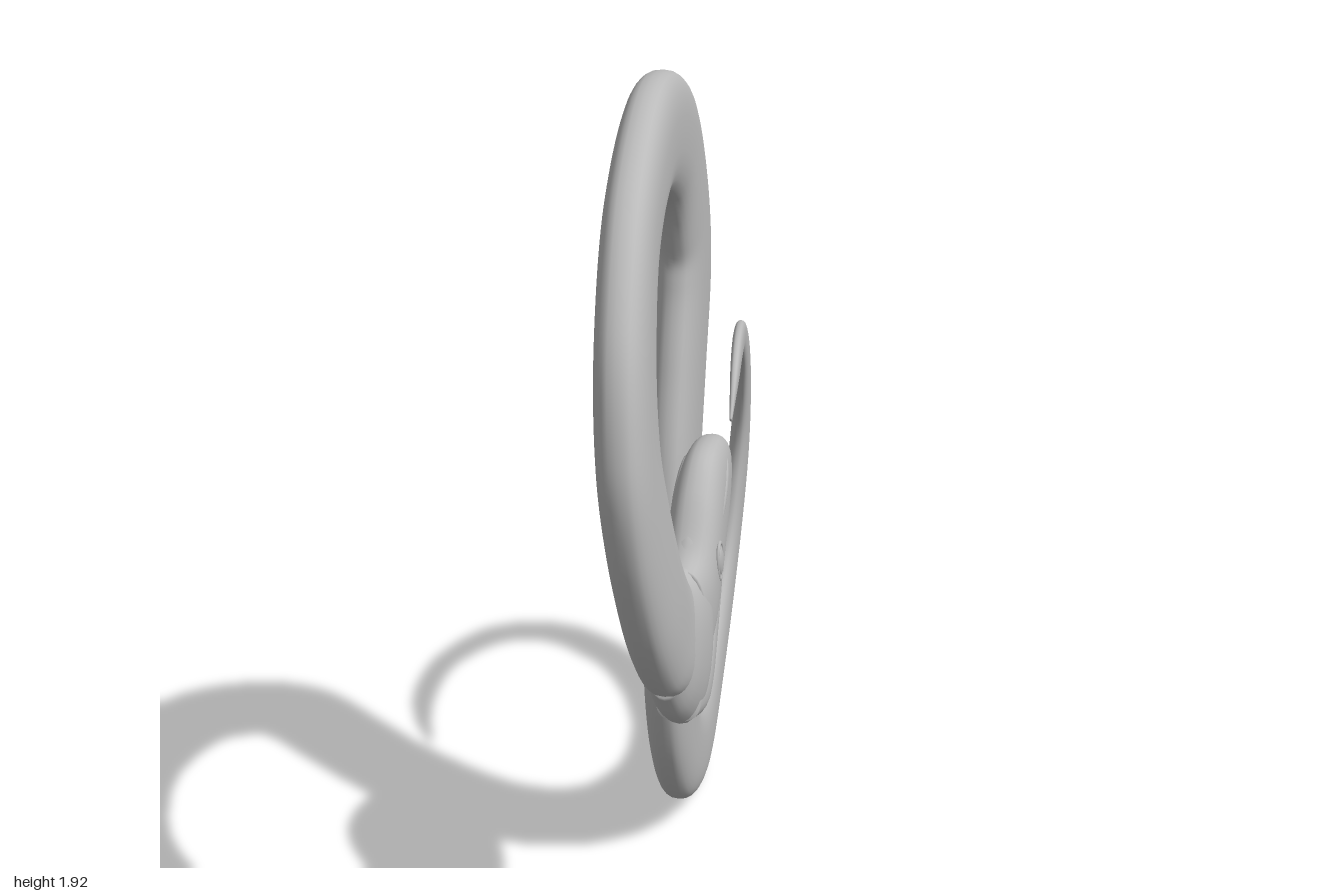
import * as THREE from 'three';

const skin = new THREE.MeshStandardMaterial({ color: 0xbababa });
skin.name = 'grey skin';

const SIDES = 32;
const spow = (v, p) => Math.sign(v) * Math.pow(Math.abs(v), p);

// Smooth skin over ribs; each rib is [topZ, topY, bottomZ, bottomY, centreX, halfThickness]
function loft(name, ribs, steps, power) {
  const curve = f => new THREE.CatmullRomCurve3(ribs.map(f), false, 'catmullrom', 0.5);
  const top = curve(r => new THREE.Vector3(r[4], r[1], r[0]));
  const bottom = curve(r => new THREE.Vector3(r[4], r[3], r[2]));
  const thick = curve(r => new THREE.Vector3(r[5], 0, 0));
  const pos = [], index = [];
  for (let i = 0; i <= steps; i++) {
    const t = i / steps;
    const a = top.getPoint(t), b = bottom.getPoint(t), h = thick.getPoint(t).x;
    const c = a.clone().add(b).multiplyScalar(0.5);
    const u = a.sub(b).multiplyScalar(0.5);
    for (let j = 0; j < SIDES; j++) {
      const w = (j / SIDES) * Math.PI * 2;
      const k = spow(Math.cos(w), 2 / power);
      pos.push(c.x + h * spow(Math.sin(w), 2 / power), c.y + u.y * k, c.z + u.z * k);
    }
  }
  const id = (i, j) => i * SIDES + (j % SIDES);
  for (let i = 0; i < steps; i++)
    for (let j = 0; j < SIDES; j++)
      index.push(id(i, j), id(i, j + 1), id(i + 1, j), id(i, j + 1), id(i + 1, j + 1), id(i + 1, j));
  // end caps
  for (const i of [0, steps]) {
    const n = pos.length / 3;
    const m = [0, 1, 2].map(k => (pos[id(i, 0) * 3 + k] + pos[id(i, SIDES / 2) * 3 + k]) / 2);
    pos.push(...m);
    for (let j = 0; j < SIDES; j++)
      index.push(n, id(i, i ? j : j + 1), id(i, i ? j + 1 : j));
  }
  const g = new THREE.BufferGeometry();
  g.setAttribute('position', new THREE.Float32BufferAttribute(pos, 3));
  g.setIndex(index);
  g.computeVertexNormals();
  const mesh = new THREE.Mesh(g, skin);
  mesh.name = name;
  return mesh;
}

// Body centreline from neck to tail: [z, y, halfWidth, x, halfThickness]
const SPINE = [
  [0.58, 0.83, 0.11, 0.04, 0.05], [0.67, 0.89, 0.125, 0.03, 0.052], [0.77, 1.01, 0.128, 0.02, 0.054],
  [0.85, 1.19, 0.13, 0.005, 0.054], [0.872, 1.35, 0.128, -0.008, 0.054], [0.815, 1.53, 0.125, -0.02, 0.053],
  [0.64, 1.71, 0.115, -0.035, 0.052], [0.35, 1.8, 0.12, -0.045, 0.052], [0.06, 1.72, 0.13, -0.05, 0.052],
  [-0.09, 1.54, 0.138, -0.05, 0.052], [-0.125, 1.38, 0.152, -0.05, 0.052], [-0.07, 1.18, 0.15, -0.053, 0.052],
  [-0.01, 0.97, 0.146, -0.056, 0.052], [0.025, 0.72, 0.14, -0.06, 0.052], [0.018, 0.52, 0.136, -0.063, 0.052],
  [-0.06, 0.32, 0.124, -0.066, 0.05], [-0.2, 0.18, 0.117, -0.068, 0.048], [-0.42, 0.113, 0.108, -0.07, 0.044],
  [-0.665, 0.185, 0.085, -0.068, 0.036], [-0.86, 0.37, 0.069, -0.055, 0.029], [-0.932, 0.6, 0.067, -0.036, 0.025],
  [-0.9, 0.79, 0.053, -0.02, 0.021], [-0.785, 0.955, 0.044, -0.004, 0.017], [-0.585, 1.08, 0.036, 0.016, 0.014],
  [-0.39, 1.12, 0.034, 0.034, 0.013], [-0.245, 1.1, 0.024, 0.046, 0.01], [-0.13, 1.04, 0.005, 0.053, 0.003],
];

function spineRibs() {
  const curve = new THREE.CatmullRomCurve3(SPINE.map(s => new THREE.Vector3(0, s[1], s[0])), false, 'catmullrom', 0.5);
  return SPINE.map(([z, y, w, x, h], i) => {
    const t = curve.getTangent(i / (SPINE.length - 1));
    return [z + t.y * w, y - t.z * w, z - t.y * w, y + t.z * w, x, h];
  });
}

export function createModel() {
  const model = new THREE.Group();
  model.name = 'snake';
  model.add(loft('body', spineRibs(), 260, 2.6));

  const head = new THREE.Group();
  head.name = 'head';
  model.add(head);

  // back of the skull, behind the corner of the mouth
  head.add(loft('skullBack', [
    [0.64, 1.0, 0.7, 0.76, 0.03, 0.045], [0.58, 0.975, 0.645, 0.69, 0.038, 0.056],
    [0.52, 0.985, 0.56, 0.637, 0.045, 0.058], [0.48, 1.02, 0.5, 0.65, 0.048, 0.053],
    [0.455, 1.03, 0.465, 0.72, 0.05, 0.045],
  ], 32, 2.2));

  head.add(loft('upperJaw', [
    [0.56, 0.97, 0.55, 0.71, 0.044, 0.05], [0.5, 1.0, 0.46, 0.745, 0.048, 0.057],
    [0.42, 1.09, 0.38, 0.8, 0.05, 0.057], [0.34, 1.14, 0.29, 0.87, 0.052, 0.053],
    [0.24, 1.14, 0.21, 0.93, 0.053, 0.047], [0.15, 1.112, 0.135, 0.972, 0.054, 0.037],
    [0.107, 1.065, 0.104, 0.995, 0.054, 0.024], [0.096, 1.04, 0.096, 1.01, 0.054, 0.01],
  ], 56, 2.5));

  head.add(loft('lowerJaw', [
    [0.58, 0.74, 0.6, 0.66, 0.042, 0.045], [0.5, 0.755, 0.5, 0.628, 0.045, 0.05],
    [0.42, 0.762, 0.41, 0.634, 0.045, 0.047], [0.3, 0.78, 0.3, 0.66, 0.043, 0.04],
    [0.2, 0.795, 0.2, 0.7, 0.041, 0.034], [0.1, 0.814, 0.1, 0.728, 0.04, 0.026],
    [0.064, 0.818, 0.066, 0.744, 0.04, 0.018], [0.053, 0.805, 0.053, 0.77, 0.04, 0.009],
  ], 56, 2.5));

  // raised inner wall of the mouth
  head.add(loft('mouthLining', [
    [0.47, 0.76, 0.47, 0.73, 0.03, 0.016], [0.38, 0.81, 0.38, 0.74, 0.026, 0.016],
    [0.3, 0.86, 0.3, 0.75, 0.022, 0.016], [0.2, 0.842, 0.2, 0.76, 0.024, 0.014],
    [0.08, 0.82, 0.08, 0.79, 0.034, 0.012],
  ], 30, 2.5));

  // eyes, rims and brows on both sides
  for (const s of [1, -1]) {
    const eye = new THREE.Group();
    eye.name = s > 0 ? 'leftEye' : 'rightEye';
    eye.position.set(0.05 + s * 0.054, 0.943, 0.425);
    eye.rotation.x = 0.4;
    const ball = new THREE.Mesh(new THREE.SphereGeometry(1, 20, 14), skin);
    ball.name = 'eyeball';
    ball.scale.set(0.008, 0.036, 0.024);
    const rim = new THREE.Mesh(new THREE.TorusGeometry(0.036, 0.005, 8, 28), skin);
    rim.name = 'eyeRim';
    rim.rotation.y = Math.PI / 2;
    rim.scale.set(0.85, 1.2, 0.8);
    eye.add(ball, rim);
    const brow = new THREE.Mesh(new THREE.SphereGeometry(1, 20, 12), skin);
    brow.name = 'brow';
    brow.position.set(0.05 + s * 0.04, 1.04, 0.34);
    brow.rotation.x = 0.5;
    brow.scale.set(0.016, 0.022, 0.12);
    head.add(eye, brow);
  }
  return model;
}
